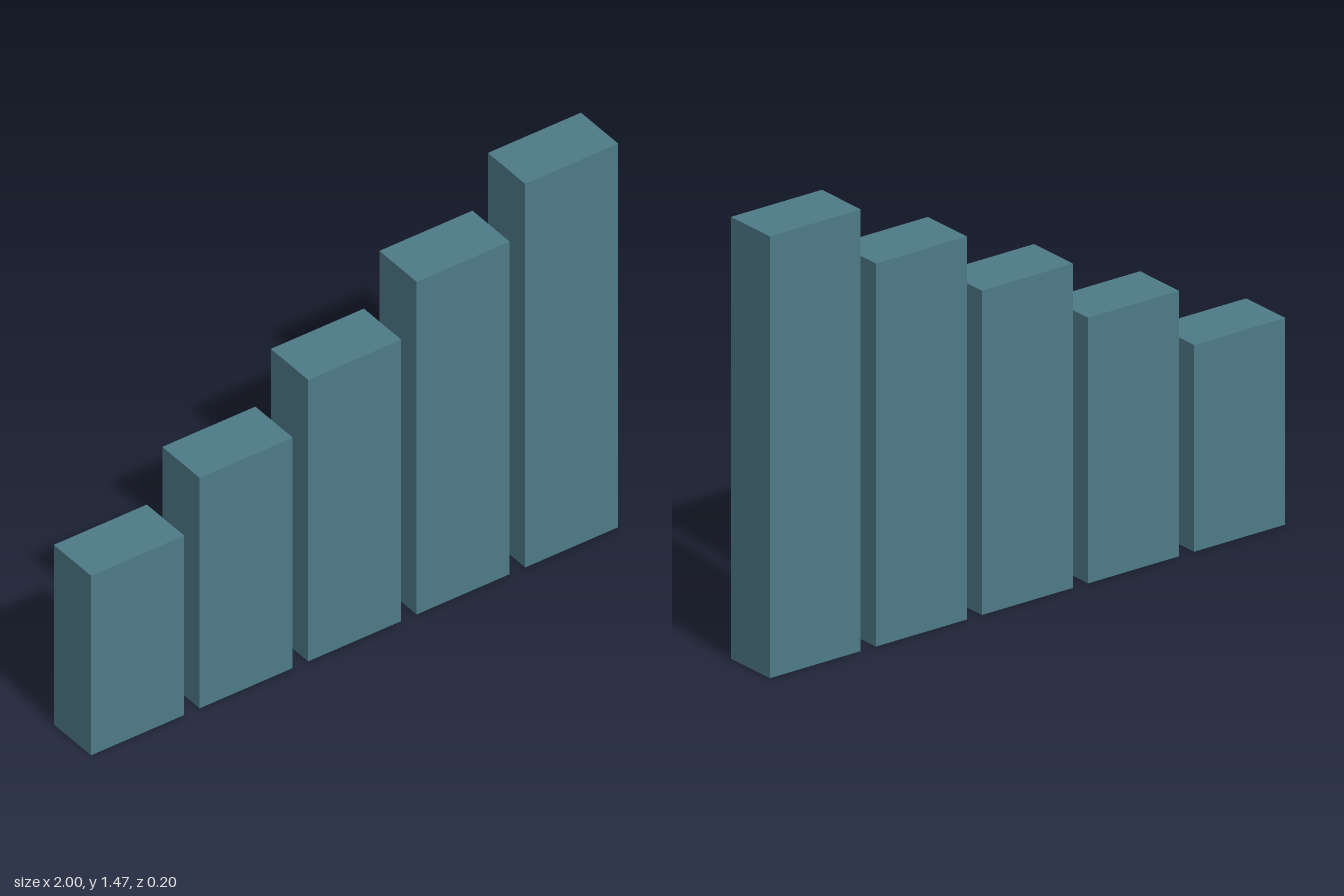
import * as THREE from 'three';

export function createModel() {
  const model = new THREE.Group();
  model.name = 'barChart';
  const material = new THREE.MeshStandardMaterial({ color: 0x4e7a88, flatShading: true });

  const count = 5, width = 0.353, depth = 0.196;
  const pitch = (2 - width) / (count - 1);
  const firstHeight = 0.69, step = 0.196;

  // Row of separate bars, rising evenly towards +x
  for (let i = 0; i < count; i++) {
    const height = firstHeight + i * step;
    const bar = new THREE.Mesh(new THREE.BoxGeometry(width, height, depth), material);
    bar.name = `bar${i + 1}`;
    bar.position.set((i - (count - 1) / 2) * pitch, height / 2, 0);
    model.add(bar);
  }
  return model;
}
